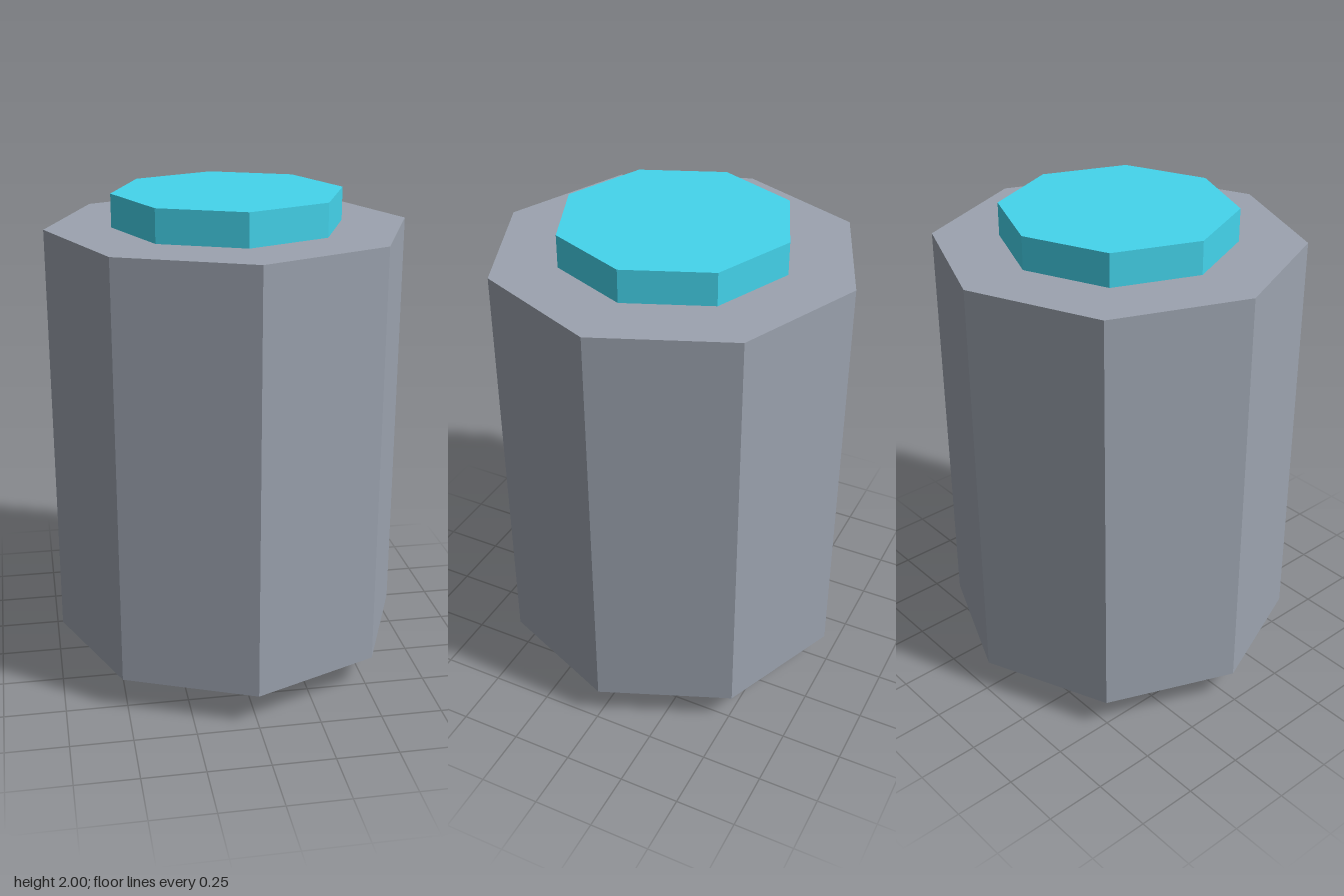
import * as THREE from 'three';

const SIDES = 8;

// Flat-shaded octagonal prism standing on its corners' axes, centred at mid height
function prism(name, radius, height, color) {
  const mesh = new THREE.Mesh(
    new THREE.CylinderGeometry(radius, radius, height, SIDES),
    new THREE.MeshStandardMaterial({ color, flatShading: true })
  );
  mesh.name = name;
  mesh.position.y = 1;
  return mesh;
}

export function createModel() {
  const model = new THREE.Group();
  model.name = 'canister';

  // Wide outer casing
  model.add(prism('casing', 0.733, 1.733, 0x9ca3af));

  // Inner core, showing as a raised cap at the top and the bottom
  model.add(prism('core', 0.467, 2, 0x44d4ec));

  return model;
}
